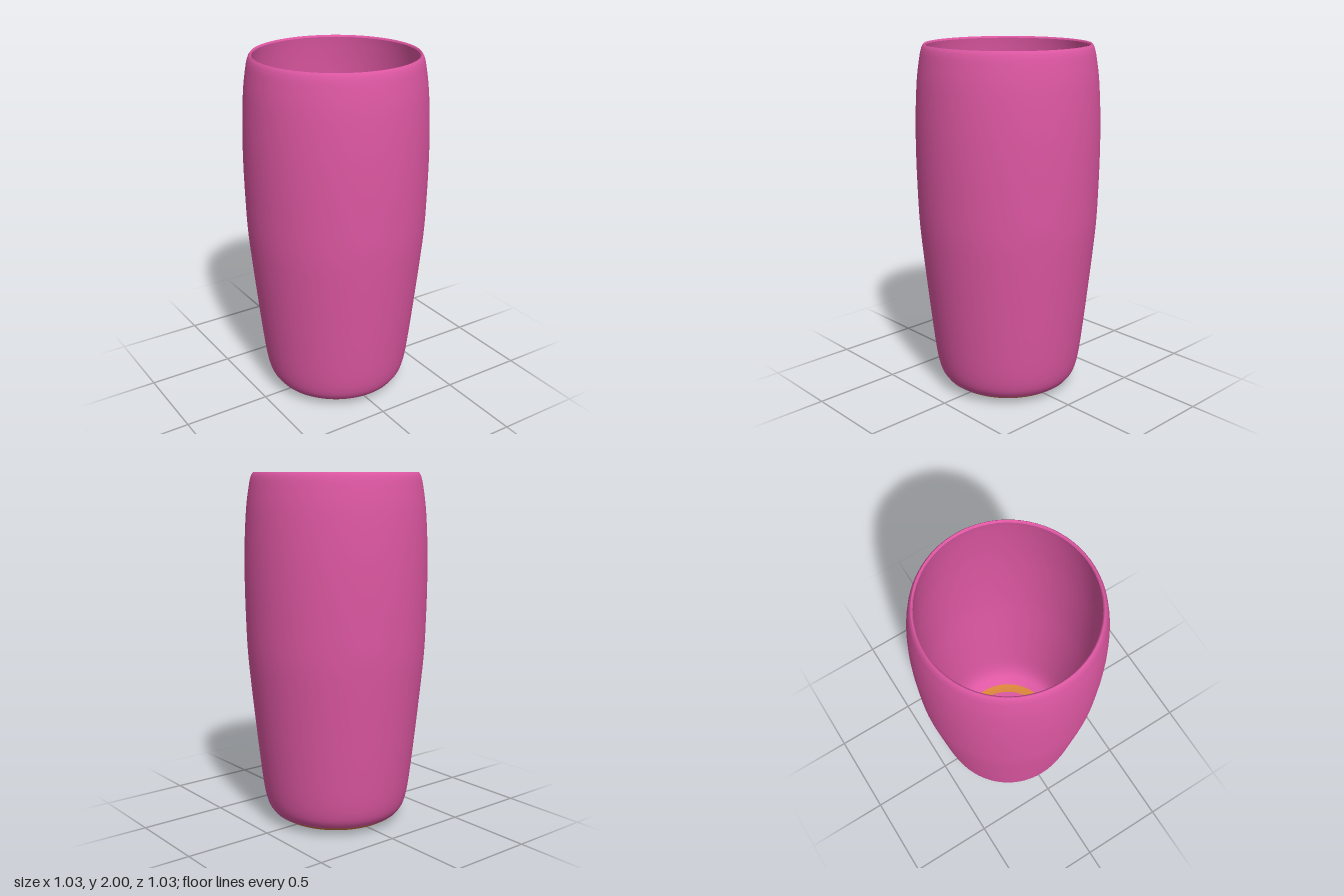
import * as THREE from 'three';

const SEGMENTS = 72;

// Smooth surface of revolution through a few [radius, height] points
function revolve(name, points, material, steps) {
  const curve = new THREE.SplineCurve(points.map(([r, y]) => new THREE.Vector2(r, y)));
  const mesh = new THREE.Mesh(
    new THREE.LatheGeometry(curve.getPoints(steps), SEGMENTS), material);
  mesh.name = name;
  return mesh;
}

// Flat round plate facing up or down
function disc(name, radius, y, up, material) {
  const geometry = new THREE.CircleGeometry(radius, SEGMENTS);
  geometry.rotateX(up ? -Math.PI / 2 : Math.PI / 2);
  const mesh = new THREE.Mesh(geometry, material);
  mesh.name = name;
  mesh.position.y = y;
  return mesh;
}

export function createModel() {
  const pink = new THREE.MeshStandardMaterial({ color: 0xdd57a2 });
  pink.name = 'pink glaze';
  const ochre = new THREE.MeshStandardMaterial({ color: 0xd6823a });
  ochre.name = 'ochre base';

  const vase = new THREE.Group();
  vase.name = 'vase';

  // Outer wall, from the base band up to the lip
  vase.add(revolve('outerWall', [
    [0.37, 0.05], [0.402, 0.1], [0.425, 0.2], [0.449, 0.4], [0.47, 0.6],
    [0.49, 0.8], [0.507, 1], [0.514, 1.2], [0.517, 1.4], [0.514, 1.6],
    [0.502, 1.8], [0.484, 1.93], [0.472, 1.98], [0.46, 2],
  ], pink, 65));

  // Narrow lip turning inwards
  vase.add(revolve('rim', [[0.46, 2], [0.455, 1.998], [0.45, 1.99]], pink, 6));

  // Inner wall, from the lip down to the floor
  vase.add(revolve('innerWall', [
    [0.45, 1.99], [0.458, 1.93], [0.47, 1.8], [0.481, 1.6], [0.483, 1.4],
    [0.479, 1.2], [0.47, 1], [0.453, 0.8], [0.434, 0.6], [0.415, 0.4],
    [0.393, 0.2], [0.36, 0.1], [0.3, 0.05],
  ], pink, 60));

  // Ochre band at the foot, outside and inside
  vase.add(revolve('baseBand', [[0.25, 0], [0.29, 0.009], [0.335, 0.027], [0.37, 0.05]], ochre, 12));
  vase.add(revolve('innerBaseBand', [[0.3, 0.05], [0.275, 0.04], [0.25, 0.035]], ochre, 6));

  // Floor and underside
  vase.add(disc('floor', 0.25, 0.035, true, pink));
  vase.add(disc('underside', 0.25, 0, false, pink));

  return vase;
}
